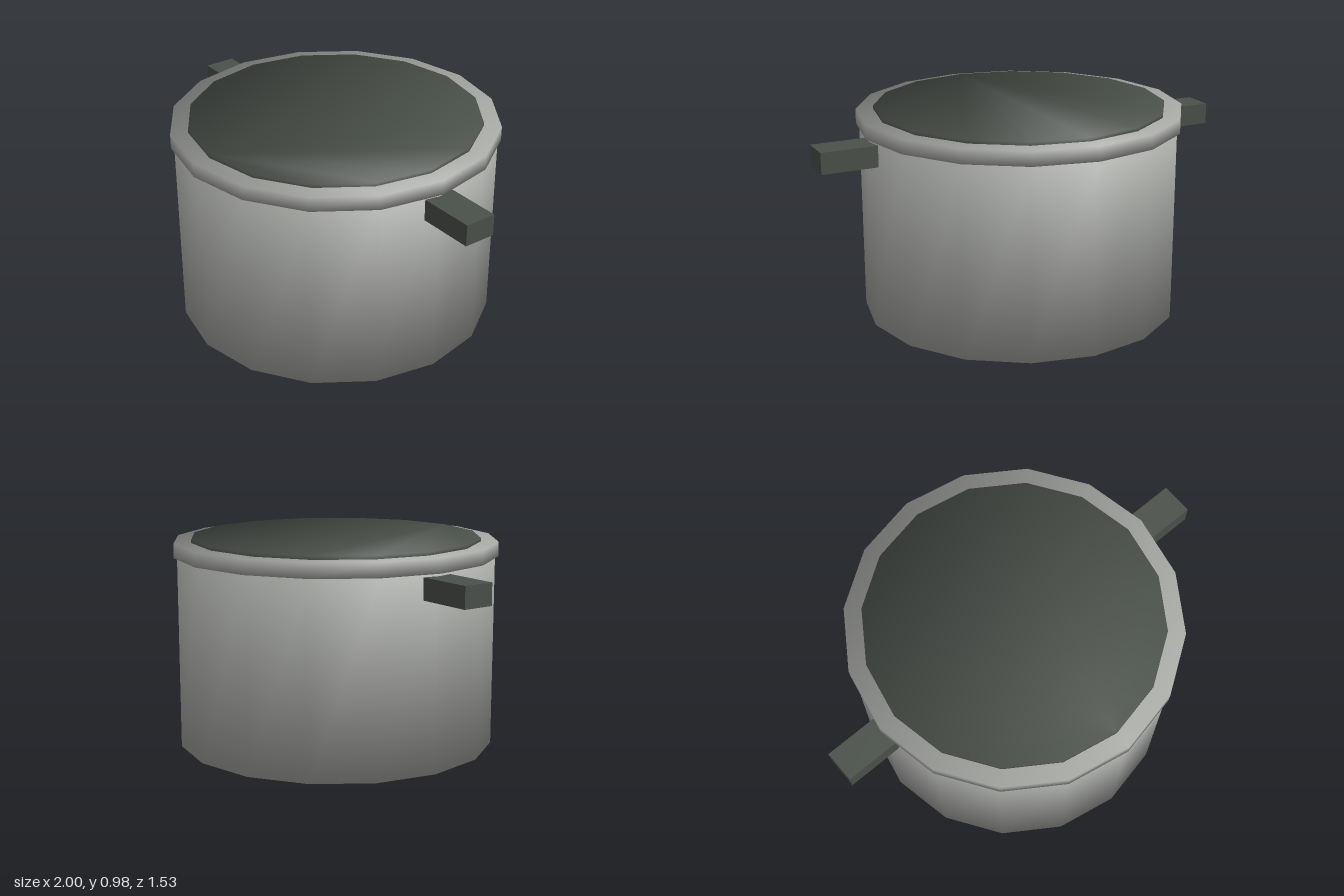
import * as THREE from 'three';

const SIDES = 16;

// Closed 16-sided drum whose smooth normals run over the edge between wall and caps.
function drumGeometry(radius, bottom, top) {
  const positions = [], normals = [], index = [];
  const normal = new THREE.Vector3();
  for (const [y, up] of [[bottom, -1], [top, 1]]) {
    for (let i = 0; i < SIDES; i++) {
      const a = (i / SIDES) * Math.PI * 2;
      const s = Math.sin(a), c = Math.cos(a);
      positions.push(radius * s, y, radius * c);
      normal.set(1.12 * s, up, 1.12 * c).normalize();
      normals.push(normal.x, normal.y, normal.z);
    }
  }
  for (let i = 0; i < SIDES; i++) {
    const j = (i + 1) % SIDES;
    index.push(i, j, SIDES + j, i, SIDES + j, SIDES + i); // wall
    if (i > 0 && i < SIDES - 1) {
      index.push(SIDES, SIDES + i, SIDES + j); // top cap
      index.push(0, j, i); // bottom cap
    }
  }
  const geometry = new THREE.BufferGeometry();
  geometry.setAttribute('position', new THREE.Float32BufferAttribute(positions, 3));
  geometry.setAttribute('normal', new THREE.Float32BufferAttribute(normals, 3));
  geometry.setIndex(index);
  return geometry;
}

export function createModel() {
  const pot = new THREE.Group();
  pot.name = 'cookingPot';

  const metal = new THREE.MeshStandardMaterial({ color: 0xa6a8a4 });
  metal.name = 'grey metal';
  const dark = new THREE.MeshStandardMaterial({ color: 0x4a504a });
  dark.name = 'dark grey';

  const add = (name, geometry, material) => {
    const mesh = new THREE.Mesh(geometry, material);
    mesh.name = name;
    pot.add(mesh);
    return mesh;
  };

  // Body, rim band and the dark disc on top
  add('body', drumGeometry(0.75, 0, 0.905), metal);
  add('rim', drumGeometry(0.765, 0.9, 0.968), metal);
  add('topDisc', drumGeometry(0.683, 0.95, 0.984), dark);

  // Block handles on both sides
  for (const [name, side] of [['leftHandle', 1], ['rightHandle', -1]]) {
    add(name, new THREE.BoxGeometry(0.28, 0.1, 0.15), dark).position.set(side * 0.86, 0.837, 0);
  }

  return pot;
}
